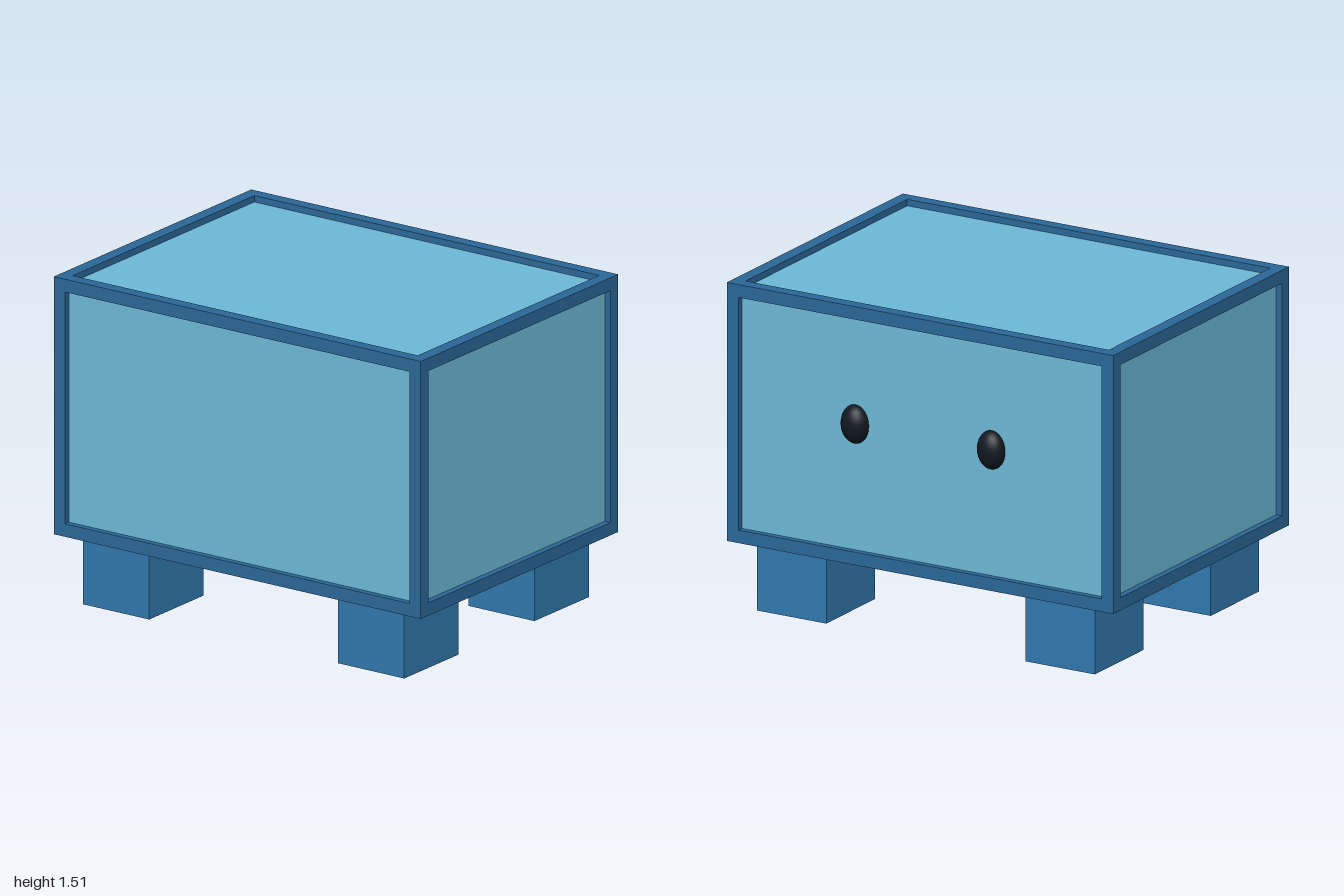
import * as THREE from 'three';

const W = 2, H = 1.2, D = 1.487;      // body size
const CY = 0.915, CZ = 0.0135;        // body centre
const BAR = 0.06, RECESS = 0.03;      // frame thickness, panel inset

export function createModel() {
  const model = new THREE.Group();
  const paint = (color) => new THREE.MeshStandardMaterial({ color });
  const frameMat = paint(0x2b6797);
  const panelMat = paint(0x6cb8d6);
  const legMat = paint(0x3178ae);
  const eyeMat = paint(0x111820);

  const box = (name, parent, mat, size, pos) => {
    const mesh = new THREE.Mesh(new THREE.BoxGeometry(...size), mat);
    mesh.name = name;
    mesh.position.set(...pos);
    parent.add(mesh);
    return mesh;
  };

  // Body core: its six faces are the recessed panels
  box('bodyPanels', model, panelMat,
    [W - 2 * RECESS, H - 2 * RECESS, D - 2 * RECESS], [0, CY, CZ]);

  // Frame: twelve bars along the body edges
  const frame = new THREE.Group();
  frame.name = 'frame';
  frame.position.set(0, CY, CZ);
  model.add(frame);
  const x = (W - BAR) / 2, y = (H - BAR) / 2, z = (D - BAR) / 2;
  for (const a of [-1, 1]) {
    for (const b of [-1, 1]) {
      box('widthBar', frame, frameMat, [W, BAR, BAR], [0, a * y, b * z]);
      box('cornerPost', frame, frameMat, [BAR, H - 2 * BAR, BAR], [a * x, 0, b * z]);
      box('depthBar', frame, frameMat, [BAR, BAR, D - 2 * BAR], [a * x, b * y, 0]);
    }
  }

  // Legs: four blocks reaching up to the recessed bottom panel
  const legH = CY - H / 2 + RECESS;
  for (const sx of [-1, 1]) {
    for (const sz of [-1, 1]) {
      box('leg', model, legMat, [0.36, legH, 0.41],
        [sx * 0.695, legH / 2, CZ + sz * 0.49]);
    }
  }

  // Eyes: oval beads set into the back panel
  const eyeGeo = new THREE.SphereGeometry(1, 32, 16);
  for (const s of [-1, 1]) {
    const eye = new THREE.Mesh(eyeGeo, eyeMat);
    eye.name = s > 0 ? 'leftEye' : 'rightEye';
    eye.scale.set(0.07, 0.09, 0.06);
    eye.position.set(s * 0.353, 0.96, -0.697);
    model.add(eye);
  }
  return model;
}
